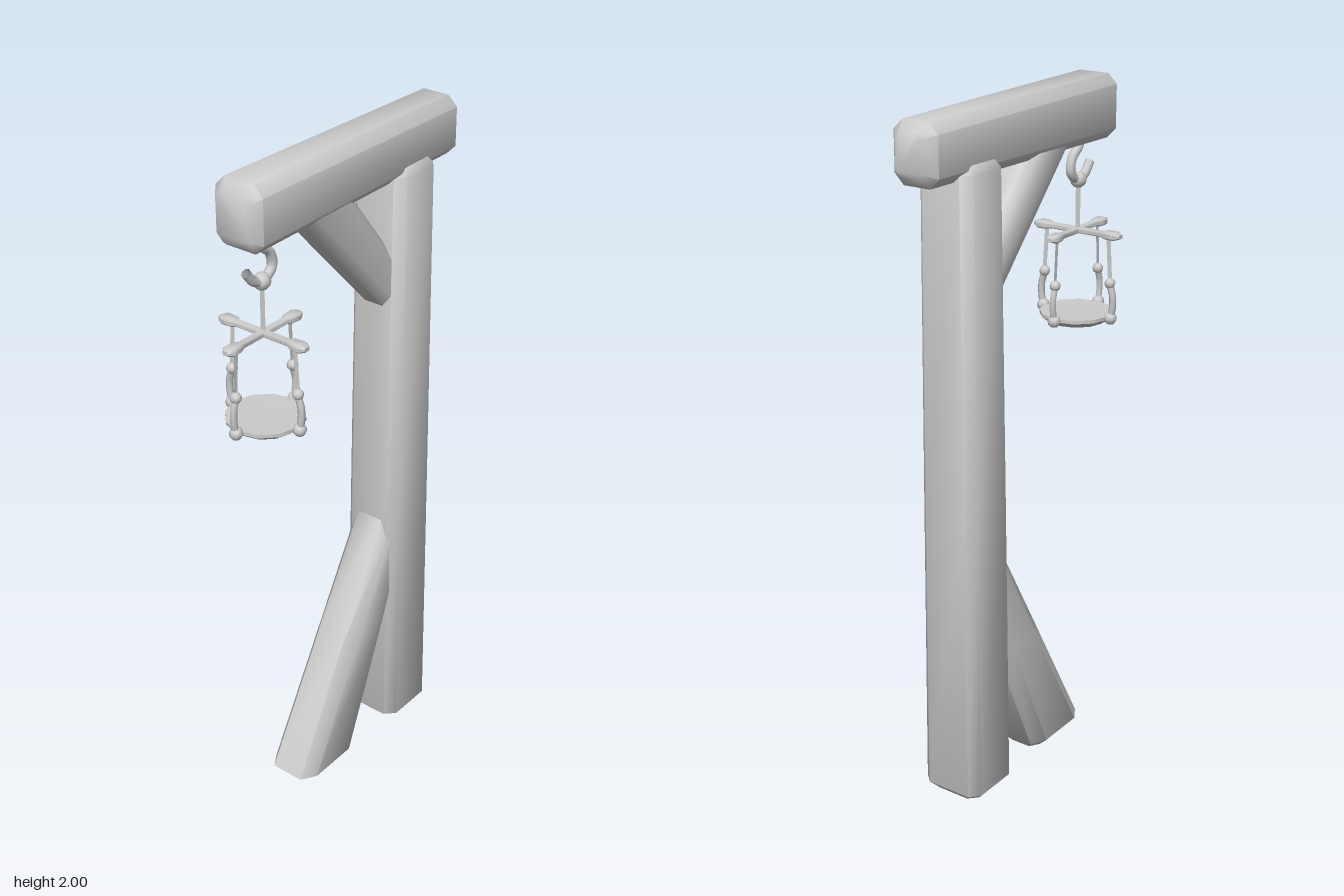
import * as THREE from 'three';
import { toCreasedNormals } from 'three/addons/utils/BufferGeometryUtils.js';

const material = new THREE.MeshStandardMaterial({ color: 0xcccccc });
const thin = new THREE.MeshStandardMaterial({ color: 0xcccccc, side: THREE.DoubleSide });
const CZ = 0.307; // depth at which the tray hangs

function add(parent, name, geometry, mat = material) {
  const mesh = new THREE.Mesh(geometry, mat);
  mesh.name = name;
  parent.add(mesh);
  return mesh;
}

// Loft of chamfered rectangles along y; each ring is [y, halfX, z0, z1, chamferX, chamferZ]
function timber(rings) {
  const pos = [], index = [];
  for (const [y, h, z0, z1, cx, cz = cx] of rings) {
    const outline = [
      [h, z1 - cz], [h, z0 + cz], [h - cx, z0], [cx - h, z0],
      [-h, z0 + cz], [-h, z1 - cz], [cx - h, z1], [h - cx, z1],
    ];
    for (const [x, z] of outline) pos.push(x, y, z);
  }
  const top = (rings.length - 1) * 8;
  for (let r = 0; r < top; r += 8) {
    for (let i = 0; i < 8; i++) {
      const j = (i + 1) % 8;
      index.push(r + i, r + j, r + 8 + j, r + i, r + 8 + j, r + 8 + i);
    }
  }
  for (let i = 1; i < 7; i++) index.push(0, i + 1, i, top, top + i, top + i + 1);
  const g = new THREE.BufferGeometry();
  g.setAttribute('position', new THREE.Float32BufferAttribute(pos, 3));
  g.setIndex(index);
  return toCreasedNormals(g, 0.95);
}

// Flat strap in the xy plane between two points
function strap(x0, y0, x1, y1, width) {
  const g = new THREE.PlaneGeometry(width, Math.hypot(x1 - x0, y1 - y0));
  g.rotateZ(Math.atan2(x0 - x1, y1 - y0));
  return g.translate((x0 + x1) / 2, (y0 + y1) / 2, 0);
}

function tube(points, radius, sides) {
  const curve = new THREE.CatmullRomCurve3(points.map((p) => new THREE.Vector3(...p)));
  return new THREE.TubeGeometry(curve, points.length * 4, radius, sides);
}

export function createModel() {
  const model = new THREE.Group();
  model.name = 'hangingTrayPost';

  // Upright post, slightly tapered
  add(model, 'post', timber([
    [0.01, 0.075, -0.315, -0.165, 0.025],
    [0.035, 0.098, -0.337, -0.143, 0.028],
    [0.9, 0.092, -0.332, -0.148, 0.028],
    [1.845, 0.084, -0.325, -0.156, 0.026],
    [1.87, 0.068, -0.31, -0.17, 0.022],
  ]));

  // Overhead beam, lofted along its length
  add(model, 'beam', timber([
    [-0.452, 0.04, -1.97, -1.855, 0.015],
    [-0.42, 0.069, -1.993, -1.828, 0.028],
    [0.38, 0.075, -1.999, -1.82, 0.028],
    [0.407, 0.053, -1.975, -1.84, 0.02],
  ]).rotateX(Math.PI / 2));

  // Diagonal braces, running into the post
  add(model, 'lowerBrace', timber([
    [0.0, 0.05, 0.03, 0.225, 0.02, 0.03],
    [0.03, 0.08, 0.005, 0.252, 0.028, 0.045],
    [0.42, 0.075, -0.16, 0.04, 0.028, 0.045],
    [0.78, 0.068, -0.3, -0.155, 0.028, 0.04],
  ]));
  add(model, 'upperBrace', timber([
    [1.45, 0.058, -0.315, -0.168, 0.028, 0.035],
    [1.85, 0.06, 0.0, 0.205, 0.028, 0.035],
  ]));

  // Hook under the beam
  const hook = new THREE.Group();
  hook.name = 'hook';
  model.add(hook);
  add(hook, 'hookCurve', tube([
    [0, 1.835, 0.318], [0, 1.805, 0.308], [0, 1.775, 0.275], [0, 1.735, 0.268],
    [0, 1.708, 0.305], [0, 1.72, 0.34], [0, 1.75, 0.365],
  ], 0.0135, 8), thin);
  add(hook, 'strapLoop', new THREE.SphereGeometry(0.024, 10, 6)).position.set(0, 1.708, CZ);

  // Hanging tray
  const tray = new THREE.Group();
  tray.name = 'hangingTray';
  tray.position.z = CZ;
  model.add(tray);
  add(tray, 'hangerStrap', strap(0, 1.56, 0, 1.71, 0.016), thin);

  // Crossed bars with flared ends
  for (const turn of [0, Math.PI / 2]) {
    const bar = add(tray, 'crossBar', timber([
      [-0.144, 0.01, -0.006, 0.006, 0.003],
      [-0.128, 0.02, -0.011, 0.011, 0.006],
      [-0.1, 0.018, -0.011, 0.011, 0.006],
      [-0.085, 0.011, -0.008, 0.008, 0.004],
      [0.085, 0.011, -0.008, 0.008, 0.004],
      [0.1, 0.018, -0.011, 0.011, 0.006],
      [0.128, 0.02, -0.011, 0.011, 0.006],
      [0.144, 0.01, -0.006, 0.006, 0.003],
    ]).rotateX(Math.PI / 2));
    bar.position.y = 1.563;
    bar.rotation.y = turn;
  }

  // Four hangers: flat strap, bead, rod, bead
  for (let i = 0; i < 4; i++) {
    const hanger = new THREE.Group();
    hanger.name = 'hanger';
    hanger.rotation.y = i * Math.PI / 2;
    tray.add(hanger);
    add(hanger, 'strap', strap(0.113, 1.42, 0.104, 1.56, 0.014), thin);
    add(hanger, 'rod', tube([
      [0.112, 1.42, 0], [0.122, 1.385, 0], [0.122, 1.35, 0], [0.116, 1.32, 0],
    ], 0.01, 6));
    add(hanger, 'upperBead', new THREE.SphereGeometry(0.016, 8, 6)).position.set(0.112, 1.423, 0);
    add(hanger, 'lowerBead', new THREE.SphereGeometry(0.019, 8, 6)).position.set(0.116, 1.32, 0);
  }

  // Shallow dish
  const profile = [[0, 1.295], [0.085, 1.297], [0.108, 1.314], [0.108, 1.324], [0.098, 1.324], [0, 1.318]]
    .map(([x, y]) => new THREE.Vector2(x, y));
  add(tray, 'dish', toCreasedNormals(new THREE.LatheGeometry(profile, 12), 0.7));

  return model;
}
